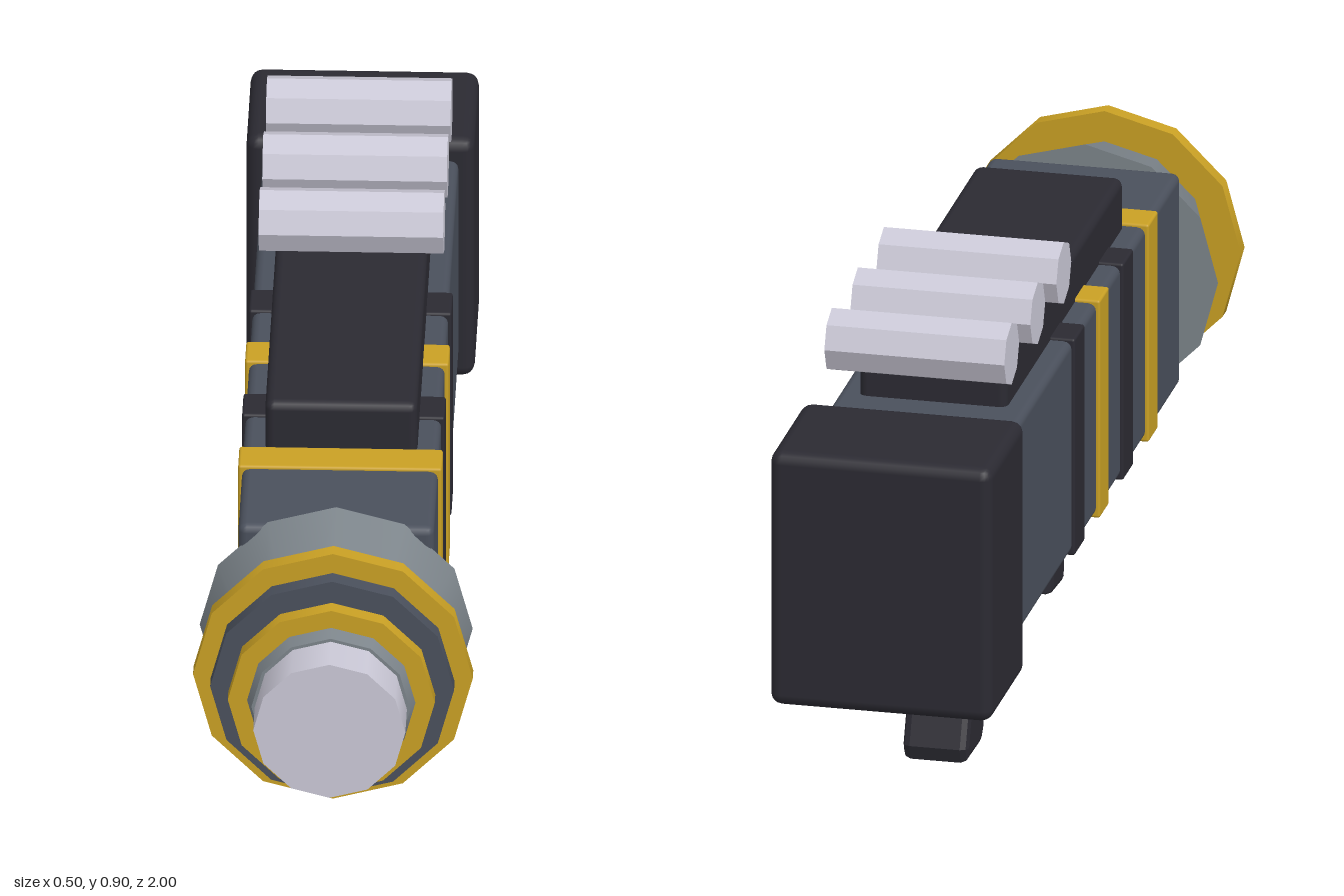
import * as THREE from 'three';
import { RoundedBoxGeometry } from 'three/addons/geometries/RoundedBoxGeometry.js';

const paint = (name, color) => {
  const m = new THREE.MeshStandardMaterial({ color });
  m.name = name;
  return m;
};

export function createModel() {
  const slate = paint('slate', 0x4a505c);
  const black = paint('black', 0x2b2a32);
  const gold = paint('gold', 0xc9a024);
  const steel = paint('steel', 0x7c848a);
  const silver = paint('silver', 0xcac8d6);
  const silverFlat = silver;

  const group = new THREE.Group();
  const AXIS_Y = 0.495; // height of the barrel axis

  const add = (name, geometry, material) => {
    const mesh = new THREE.Mesh(geometry, material);
    mesh.name = name;
    group.add(mesh);
    return mesh;
  };

  // Rounded box given by half width and its y and z ranges
  const block = (name, halfX, y0, y1, z0, z1, radius, material) => {
    const g = new RoundedBoxGeometry(2 * halfX, y1 - y0, z1 - z0, 2, radius);
    g.translate(0, (y0 + y1) / 2, (z0 + z1) / 2);
    return add(name, g, material);
  };

  // Twelve-sided drum along z, from z0 (radius r0) to z1 (radius r1)
  const drum = (name, r0, r1, z0, z1, material) => {
    const g = new THREE.CylinderGeometry(r1, r0, z1 - z0, 12);
    g.rotateX(Math.PI / 2);
    g.translate(0, AXIS_Y, (z0 + z1) / 2);
    return add(name, g, material);
  };

  // Bevelled slab: side outline as [z, y] points, extruded across x
  const slab = (name, points, halfX, bevel, material) => {
    const shape = new THREE.Shape(points.map(([z, y]) => new THREE.Vector2(z, y)));
    const g = new THREE.ExtrudeGeometry(shape, {
      depth: 2 * (halfX - bevel), bevelEnabled: bevel > 0, bevelThickness: bevel,
      bevelSize: bevel, bevelOffset: -bevel, bevelSegments: 2,
    });
    g.translate(0, 0, -(halfX - bevel));
    g.rotateY(-Math.PI / 2);
    return add(name, g, material);
  };

  // Main housing, rear block and top rail
  block('body', 0.175, 0.295, 0.7, -0.75, 0.62, 0.015, slate);
  block('rearBlock', 0.204, 0.255, 0.74, -1, -0.73, 0.022, black);
  block('topRail', 0.136, 0.68, 0.795, -0.585, 0.337, 0.016, black);

  // Bands around the housing
  for (const z of [0.373, -0.012]) {
    block('goldBand', 0.182, 0.289, 0.706, z - 0.037, z + 0.037, 0.005, gold);
  }
  for (const z of [0.18, -0.202]) {
    block('blackBand', 0.181, 0.29, 0.705, z - 0.04, z + 0.04, 0.005, black);
  }

  // Muzzle: cone, rings and inner barrel
  drum('muzzleCone', 0.244, 0.142, 0.615, 0.915, steel);
  drum('largeGoldRing', 0.25, 0.25, 0.768, 0.798, gold);
  drum('slateRing', 0.218, 0.218, 0.81, 0.842, slate);
  drum('smallGoldRing', 0.185, 0.185, 0.86, 0.89, gold);
  drum('innerBarrel', 0.136, 0.136, 0.9, 1, silver);

  // Three octagonal rods lying across the rail
  for (const z of [-0.26, -0.465, -0.67]) {
    const g = new THREE.CylinderGeometry(0.059, 0.059, 0.33, 8).toNonIndexed();
    g.computeVertexNormals();
    g.rotateZ(Math.PI / 2);
    g.translate(0, 0.838, z);
    add('crossRod', g, silverFlat);
  }

  // Grips
  slab('frontGrip', [[0.262, 0.32], [0.152, 0.32], [0.143, 0.06], [0.152, 0.055], [0.238, 0.048], [0.246, 0.055]],
    0.05, 0.014, black);
  slab('rearGrip', [[-0.325, 0.32], [-0.455, 0.32], [-0.57, 0.03], [-0.562, 0.003], [-0.45, 0], [-0.432, 0.02]],
    0.06, 0.014, black);

  // Trigger guard
  slab('triggerGuard', [[-0.315, 0.3], [-0.315, 0.2], [-0.325, 0.188], [-0.39, 0.188], [-0.39, 0.2],
    [-0.328, 0.2], [-0.328, 0.3]], 0.025, 0, black);

  return group;
}
